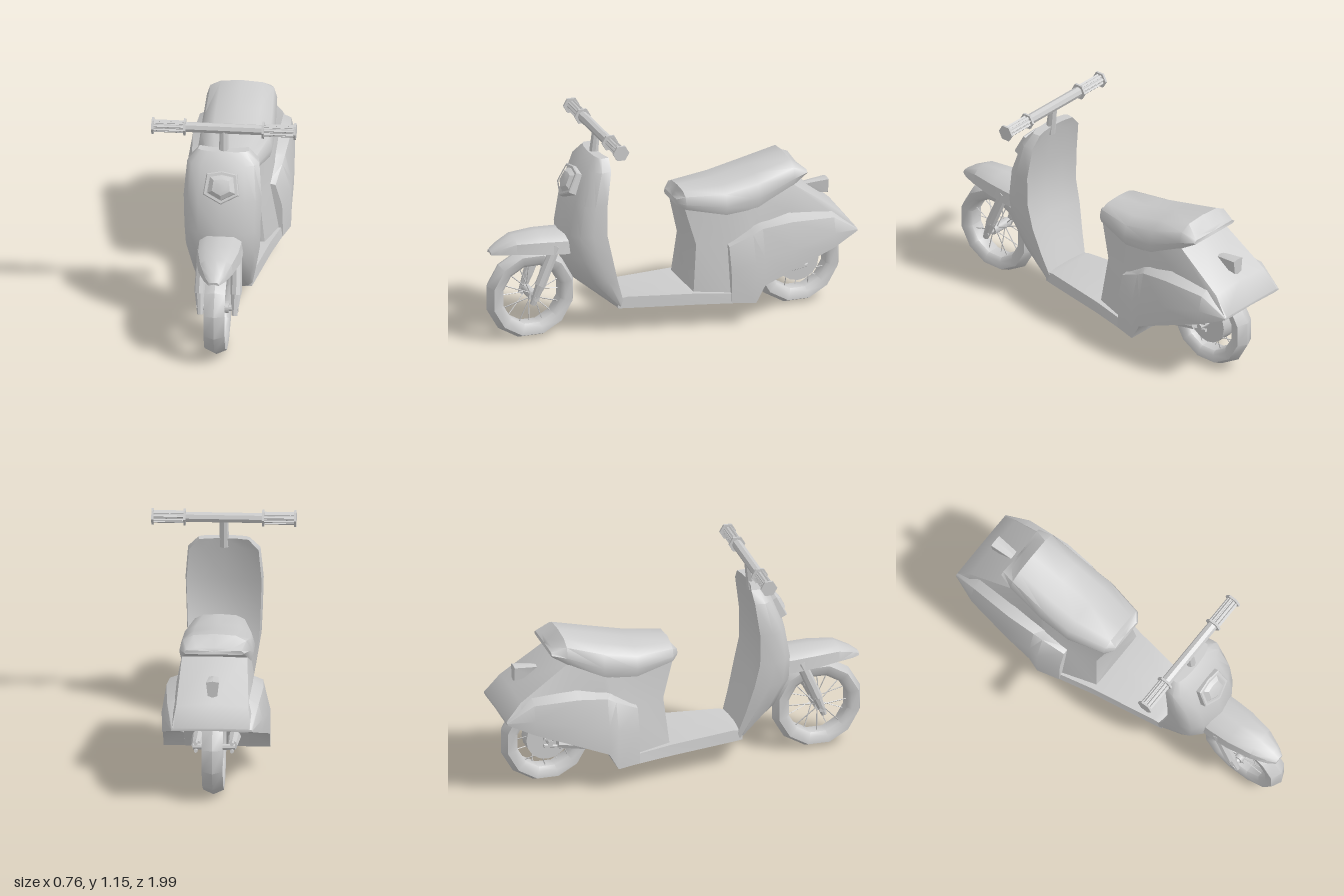
import * as THREE from 'three';
import { toCreasedNormals } from 'three/addons/utils/BufferGeometryUtils.js';

const V = (x, y, z) => new THREE.Vector3(x, y, z);
const grey = new THREE.MeshStandardMaterial({ color: 0xcccccc });

function add(parent, name, geo, crease = 0.75) {
  const mesh = new THREE.Mesh(toCreasedNormals(geo, crease), grey);
  mesh.name = name;
  parent.add(mesh);
  return mesh;
}

// Skin between closed rings of [x, y, z] points, capped at both ends
function loft(rings) {
  const n = rings[0].length, tris = [];
  const tri = (a, b, c) => tris.push([a, b, c]);
  for (let i = 0; i < rings.length - 1; i++) {
    for (let j = 0; j < n; j++) {
      const k = (j + 1) % n, a = rings[i], b = rings[i + 1];
      tri(a[j], a[k], b[k]);
      tri(a[j], b[k], b[j]);
    }
  }
  const cap = (ring, flip) => {
    const c = [0, 1, 2].map(d => ring.reduce((s, p) => s + p[d], 0) / n);
    ring.forEach((p, j) => {
      const q = ring[(j + 1) % n];
      flip ? tri(c, q, p) : tri(c, p, q);
    });
  };
  cap(rings[0], true);
  cap(rings[rings.length - 1], false);
  // Turn the skin outward when its signed volume is negative
  const volume = tris.reduce((s, [a, b, c]) => s + V(...a).dot(V(...b).cross(V(...c))), 0);
  const pos = tris.flatMap(([a, b, c]) => (volume < 0 ? [a, c, b] : [a, b, c])).flat();
  const geo = new THREE.BufferGeometry();
  geo.setAttribute('position', new THREE.Float32BufferAttribute(pos, 3));
  return geo;
}

// Full ring from a half profile whose first and last points lie on x = 0
const mirrored = half => [...half, ...half.slice(1, -1).reverse().map(([x, y, z]) => [-x, y, z])];
const atZ = (z, pts) => pts.map(([x, y, own]) => [x, y, own ?? z]);

function rod(a, b, r1, r2 = r1, sides = 8) {
  const d = b.clone().sub(a);
  const geo = new THREE.CylinderGeometry(r2, r1, d.length(), sides);
  geo.applyQuaternion(new THREE.Quaternion().setFromUnitVectors(V(0, 1, 0), d.clone().normalize()));
  return geo.translate(...a.clone().add(b).multiplyScalar(0.5).toArray());
}

function wheel(parent, name, z, hubRadius, hubHalf) {
  const g = new THREE.Group();
  g.name = name;
  g.position.set(0, 0.25, z);
  const profile = [[0.165, -0.035], [0.185, -0.052], [0.225, -0.055], [0.25, 0],
    [0.225, 0.055], [0.185, 0.052], [0.165, 0.035], [0.165, -0.035]];
  const tyre = new THREE.LatheGeometry(profile.map(p => new THREE.Vector2(...p)), 12, Math.PI / 12);
  add(g, 'tyre', tyre.rotateZ(Math.PI / 2), 0.9);
  add(g, 'hub', rod(V(-hubHalf, 0, 0), V(hubHalf, 0, 0), hubRadius, hubRadius, 16));
  add(g, 'axle', rod(V(-0.11, 0, 0), V(0.11, 0, 0), 0.016));
  for (let i = 0; i < 16; i++) {
    const a = i * Math.PI / 8, b = a + (i % 4 < 2 ? 0.25 : -0.25), x = i % 2 ? 0.035 : -0.035;
    add(g, 'spoke', rod(V(x, Math.cos(b) * hubRadius * 0.9, Math.sin(b) * hubRadius * 0.9),
      V(x * 0.3, Math.cos(a) * 0.17, Math.sin(a) * 0.17), 0.003, 0.003, 4));
  }
  parent.add(g);
}

export function createModel() {
  const scooter = new THREE.Group();
  scooter.name = 'scooter';

  wheel(scooter, 'frontWheel', 0.753, 0.026, 0.06);
  wheel(scooter, 'rearWheel', -0.73, 0.115, 0.045);

  // Leg shield: [y, half width, front z, side z, back z]
  const shield = [[1.0, 0.135, 0.43, 0.4, 0.36], [0.94, 0.19, 0.485, 0.42, 0.365], [0.76, 0.205, 0.565, 0.46, 0.39],
    [0.59, 0.2, 0.6, 0.47, 0.39], [0.46, 0.195, 0.6, 0.44, 0.36], [0.31, 0.17, 0.52, 0.37, 0.32],
    [0.15, 0.14, 0.32, 0.29, 0.27]];
  add(scooter, 'legShield', loft(shield.map(([y, w, f, s, b]) => mirrored([
    [0, y, f], [w * 0.6, y, f - (f - s) * 0.2], [w * 0.87, y, f - (f - s) * 0.5], [w, y, s],
    [w * 0.96, y, b], [w * 0.55, y, b + (s - b) * 0.35], [0, y, b + (s - b) * 0.5]]))));

  // Footboard: [z, half width, top, bottom]
  add(scooter, 'footboard', loft([[0.31, 0.14, 0.2, 0.15], [0.26, 0.148, 0.21, 0.148], [-0.1, 0.207, 0.2, 0.14],
    [-0.3, 0.25, 0.19, 0.137], [-0.41, 0.275, 0.19, 0.135]].map(([z, w, t, b]) =>
    mirrored(atZ(z, [[0, t], [w * 0.97, t], [w, b], [0, b]])))), 0.5);

  // Rear body with a wheel well underneath
  add(scooter, 'rearBody', loft([
    [-0.06, [[0, 0.68, -0.045], [0.12, 0.68, -0.06], [0.14, 0.45, -0.125], [0.17, 0.2, -0.1], [0.17, 0.16, -0.1], [0, 0.16, -0.1]]],
    [-0.3, [[0, 0.69], [0.165, 0.66], [0.185, 0.45], [0.23, 0.2], [0.23, 0.14], [0, 0.14]]],
    [-0.41, [[0, 0.7], [0.175, 0.67], [0.2, 0.5], [0.24, 0.2], [0.24, 0.135], [0, 0.135]]],
    [-0.46, [[0, 0.72], [0.175, 0.68], [0.2, 0.53], [0.21, 0.3], [0.2, 0.23], [0, 0.24]]],
    [-0.64, [[0, 0.77], [0.17, 0.74], [0.2, 0.58], [0.21, 0.36], [0.19, 0.31], [0, 0.53]]],
    [-0.92, [[0, 0.56], [0.19, 0.545], [0.21, 0.5], [0.21, 0.44], [0.19, 0.415], [0, 0.46]]],
    [-1.0, [[0, 0.455], [0.2, 0.45], [0.21, 0.445], [0.21, 0.44], [0.19, 0.435], [0, 0.44]]],
  ].map(([z, half]) => mirrored(atZ(z, half)))));

  // Side panels bulging over the rear wheel
  const panel = [
    [-0.285, [[0.17, 0.45], [0.21, 0.44], [0.245, 0.32], [0.25, 0.14], [0.17, 0.14]]],
    [-0.41, [[0.17, 0.54], [0.235, 0.5], [0.28, 0.35], [0.28, 0.135], [0.17, 0.135]]],
    [-0.46, [[0.17, 0.56], [0.245, 0.53], [0.28, 0.38], [0.28, 0.225], [0.17, 0.225]]],
    [-0.62, [[0.17, 0.6], [0.255, 0.55], [0.28, 0.4], [0.277, 0.29], [0.17, 0.29]]],
    [-0.86, [[0.17, 0.575], [0.24, 0.54], [0.262, 0.46], [0.258, 0.38], [0.17, 0.38]]],
    [-1.0, [[0.15, 0.45], [0.205, 0.45], [0.213, 0.445], [0.213, 0.437], [0.15, 0.435]]]];
  for (const s of [1, -1]) {
    add(scooter, s > 0 ? 'leftSidePanel' : 'rightSidePanel',
      loft(panel.map(([z, pts]) => pts.map(([x, y]) => [s * x, y, z]))));
  }

  // Saddle: [z, half width, top, bottom, lean of the top edge]
  add(scooter, 'saddle', loft([[-0.035, 0.1, 0.71, 0.665, -0.02], [-0.07, 0.145, 0.745, 0.65, 0], [-0.28, 0.195, 0.765, 0.61, 0],
    [-0.46, 0.195, 0.808, 0.625, 0], [-0.66, 0.185, 0.855, 0.725, 0], [-0.74, 0.16, 0.8, 0.77, 0.02]].map(([z, w, t, b, d]) =>
    mirrored([[0, t, z + d], [w * 0.6, t - (t - b) * 0.06, z + d], [w * 0.9, t - (t - b) * 0.28, z],
      [w, b + (t - b) * 0.3, z], [w * 0.93, b, z], [0, b, z]]))), 0.85);

  // Tail light
  add(scooter, 'tailLight', loft([[-0.72, 0.018, 0.655, 0.63], [-0.8, 0.026, 0.67, 0.6], [-0.905, 0.034, 0.68, 0.59]].map(
    ([z, w, t, b]) => mirrored(atZ(z, [[0, t], [w, t - 0.006], [w * 0.75, b + 0.01], [0, b]])))), 0.4);

  // Front mudguard: [z, half width, top, bottom]
  add(scooter, 'frontMudguard', loft([[0.5, 0.115, 0.585, 0.485], [0.6, 0.12, 0.59, 0.485], [0.72, 0.115, 0.595, 0.495],
    [0.855, 0.09, 0.587, 0.505], [0.94, 0.055, 0.545, 0.5], [0.98, 0.028, 0.515, 0.498]].map(([z, w, t, b]) =>
    mirrored(atZ(z, [[0, t], [w * 0.6, t - (t - b) * 0.08], [w * 0.92, t - (t - b) * 0.35], [w, b],
      [w * 0.85, b], [0, b + (t - b) * 0.35]])))));

  // Headlight: six-sided rim with a raised lens
  const headlight = new THREE.Group();
  headlight.name = 'headlight';
  headlight.position.set(0, 0.832, 0.505);
  headlight.rotation.x = -0.46;
  const hex = [[0, 0.085], [0.08, 0.07], [0.095, -0.04], [0, -0.09], [-0.095, -0.04], [-0.08, 0.07]];
  const scaled = k => hex.map(([x, y]) => new THREE.Vector2(x * k, y * k));
  const rim = new THREE.Shape(scaled(0.94));
  rim.holes.push(new THREE.Path(scaled(0.8)));
  add(headlight, 'headlightRim', new THREE.ExtrudeGeometry(rim,
    { depth: 0.045, bevelSize: 0.005, bevelThickness: 0.006, bevelSegments: 1 }), 0.3);
  add(headlight, 'headlightLens', loft([[0, 0.8], [0.04, 0.76], [0.062, 0.5], [0.066, 0.25]].map(
    ([z, k]) => hex.map(([x, y]) => [x * k, y * k, z]))), 0.5);
  scooter.add(headlight);

  // Steering: stem, bar and ribbed grips
  const barAt = x => V(x, 1.115, 0.382);
  add(scooter, 'steeringStem', rod(V(0, 0.95, 0.4), barAt(0), 0.027, 0.022));
  add(scooter, 'handlebar', rod(barAt(-0.21), barAt(0.21), 0.028));
  for (const s of [1, -1]) {
    const grip = new THREE.Group();
    grip.name = s > 0 ? 'leftGrip' : 'rightGrip';
    add(grip, 'gripCore', rod(barAt(s * 0.2), barAt(s * 0.375), 0.026));
    add(grip, 'innerCollar', rod(barAt(s * 0.2), barAt(s * 0.212), 0.045, 0.045, 6));
    add(grip, 'endCollar', rod(barAt(s * 0.368), barAt(s * 0.38), 0.045, 0.045, 6));
    for (let i = 0; i < 8; i++) {
      const a = (i + 0.5) * Math.PI / 4, off = V(0, Math.cos(a) * 0.027, Math.sin(a) * 0.027);
      add(grip, 'gripRib', rod(barAt(s * 0.21).add(off), barAt(s * 0.37).add(off), 0.007, 0.007, 4));
    }
    scooter.add(grip);

    // Front fork leg
    add(scooter, 'forkLeg', rod(V(s * 0.09, 0.53, 0.64), V(s * 0.095, 0.32, 0.73), 0.028, 0.03));
    add(scooter, 'forkTip', rod(V(s * 0.095, 0.33, 0.725), V(s * 0.09, 0.215, 0.77), 0.028, 0.016));

    // Rear swing arm with a split end
    add(scooter, 'swingArm', rod(V(s * 0.095, 0.2, -0.42), V(s * 0.095, 0.243, -0.69), 0.035, 0.026));
    for (const d of [0.02, -0.02]) {
      add(scooter, 'swingArmProng', rod(V(s * 0.095, 0.24 + d, -0.67), V(s * 0.095, 0.257 + d, -0.765), 0.011, 0.01, 6));
    }
  }
  return scooter;
}
